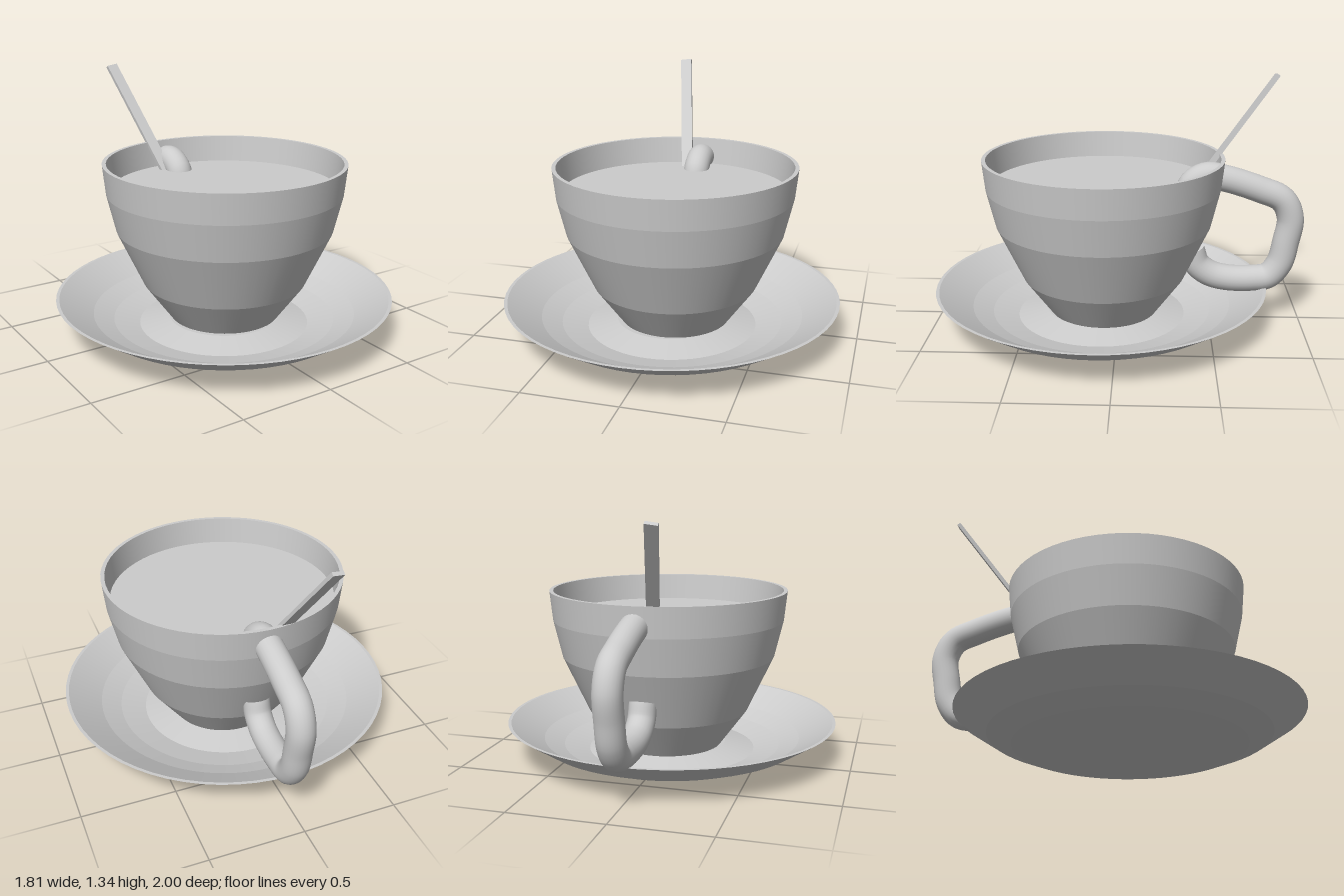
import * as THREE from 'three';
import { mergeGeometries } from 'three/addons/utils/BufferGeometryUtils.js';

// Turned shape, smooth around the axis with a crisp edge between bands
function turned(profile) {
  const bands = [];
  for (let i = 0; i < profile.length - 1; i++) {
    const pair = [profile[i], profile[i + 1]].map(([r, y]) => new THREE.Vector2(r, y));
    bands.push(new THREE.LatheGeometry(pair, 64));
  }
  return mergeGeometries(bands);
}

export function createModel() {
  const group = new THREE.Group();
  const china = new THREE.MeshStandardMaterial({ color: 0xcccccc });
  china.name = 'palegrey';

  const add = (name, geometry, x = 0, y = 0, z = 0) => {
    const mesh = new THREE.Mesh(geometry, china);
    mesh.name = name;
    mesh.position.set(x, y, z);
    group.add(mesh);
    return mesh;
  };

  // Saucer: underside outwards, over the rim, then back to a raised centre
  add('saucer', turned([
    [0, 0.04], [0.3, 0.04], [0.46, 0], [0.605, 0.035], [0.73, 0.085], [0.905, 0.2],
    [0.888, 0.2], [0.71, 0.1], [0.6, 0.058], [0.46, 0.025], [0.3, 0.062], [0, 0.062],
  ]), 0, 0, 0.095);

  // Cup: outside upwards, over the rim, then down the inner wall
  add('cup', turned([
    [0, 0.055], [0.29, 0.055], [0.44, 0.26], [0.58, 0.56], [0.628, 0.76], [0.645, 0.92],
    [0.624, 0.92], [0.604, 0.76], [0.556, 0.56], [0.416, 0.27], [0.27, 0.09], [0, 0.09],
  ]), 0.015, 0, 0.08);

  // Drink surface
  add('drink', new THREE.CircleGeometry(0.606, 64).rotateX(-Math.PI / 2), 0.015, 0.775, 0.08);

  // Handle: one bent tube, running through the cup wall at both ends
  const path = [
    [0.68, -0.37], [0.77, -0.39], [0.82, -0.47], [0.805, -0.57], [0.745, -0.76], [0.69, -0.88],
    [0.59, -0.926], [0.45, -0.908], [0.33, -0.88], [0.255, -0.82], [0.24, -0.74],
    [0.24, -0.6], [0.265, -0.5], [0.32, -0.43], [0.4, -0.4],
  ].map(([y, z]) => new THREE.Vector3(0, y, z));
  add('handle', new THREE.TubeGeometry(new THREE.CatmullRomCurve3(path), 80, 0.072, 24), 0.013);

  // Spoon stem: a flat strip leaning over the back of the rim
  const top = new THREE.Vector3(-0.168, 1.332, -0.846);
  const bottom = new THREE.Vector3(0.01, 0.48, -0.21);
  const along = top.clone().sub(bottom);
  const length = along.length();
  along.normalize();
  const across = new THREE.Vector3(1, 0, 0).addScaledVector(along, -along.x).normalize();
  const normal = across.clone().cross(along);
  const middle = top.clone().add(bottom).multiplyScalar(0.5);
  const stem = add('spoonStem', new THREE.BoxGeometry(0.063, length, 0.02), ...middle.toArray());
  stem.quaternion.setFromRotationMatrix(new THREE.Matrix4().makeBasis(across, along, normal));

  return group;
}
